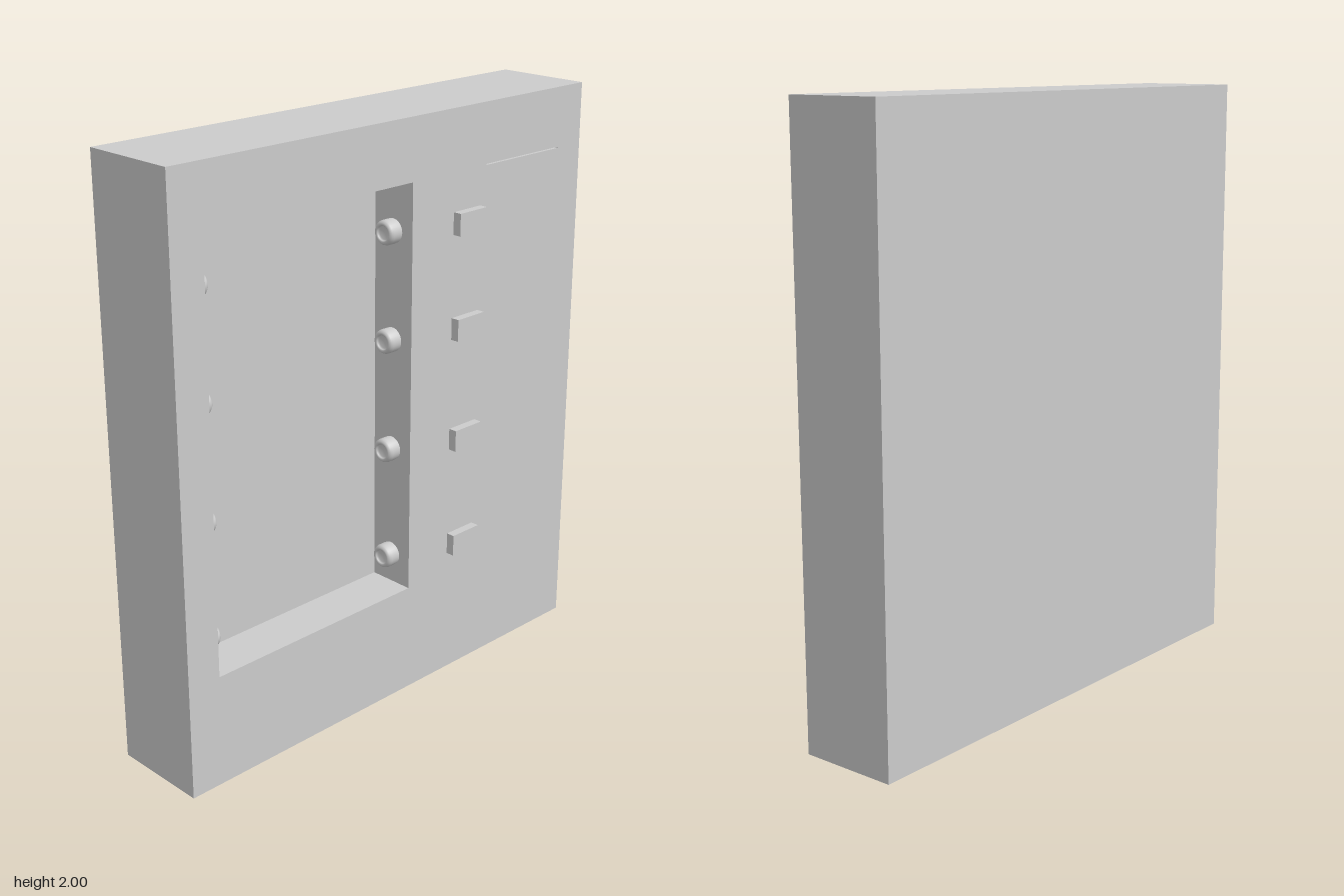
import * as THREE from 'three';

const material = new THREE.MeshStandardMaterial({ color: 0xcccccc });
const HALF_W = 0.885, HEIGHT = 2, BACK = -0.185, FRONT = 0.155, FLOOR = -0.01;
const POCKET = { x0: -0.765, x1: 0.07, y0: 0.385, y1: 1.795 };

function addMesh(parent, name, geometry, x = 0, y = 0, z = 0) {
  const mesh = new THREE.Mesh(geometry, material);
  mesh.name = name;
  mesh.position.set(x, y, z);
  parent.add(mesh);
  return mesh;
}

// Traces a rectangle onto a shape or a hole path
function rect(path, x0, y0, x1, y1) {
  path.moveTo(x0, y0);
  path.lineTo(x1, y0);
  path.lineTo(x1, y1);
  path.lineTo(x0, y1);
  path.closePath();
  return path;
}

// Round knob: rounded outer rim with a shallow dished end, axis along +y
function knobGeometry() {
  const profile = [
    [0.04, 0], [0.041, 0.008], [0.041, 0.034], [0.039, 0.042], [0.034, 0.048],
    [0.028, 0.049], [0.024, 0.046], [0.022, 0.038], [0, 0.038],
  ].map(([r, h]) => new THREE.Vector2(r, h));
  return new THREE.LatheGeometry(profile, 32);
}

export function createModel() {
  const model = new THREE.Group();
  model.name = 'wallPanel';

  // Front half of the case, with the pocket and a hairline slot cut through it
  const face = rect(new THREE.Shape(), -HALF_W, 0, HALF_W, HEIGHT);
  face.holes.push(
    rect(new THREE.Path(), POCKET.x0, POCKET.y0, POCKET.x1, POCKET.y1),
    rect(new THREE.Path(), 0.41, 1.794, 0.77, 1.798),
  );
  const frame = new THREE.ExtrudeGeometry(face, { depth: FRONT - FLOOR, bevelEnabled: false });
  addMesh(model, 'frontFrame', frame, 0, 0, FLOOR);

  // Solid back half, which forms the pocket floor
  const depth = FLOOR - BACK;
  addMesh(model, 'backSlab', new THREE.BoxGeometry(HALF_W * 2, HEIGHT, depth), 0, HEIGHT / 2, BACK + depth / 2);

  // Four rows: a knob on each pocket wall and a button on the face
  const knob = knobGeometry();
  const button = new THREE.BoxGeometry(0.125, 0.075, 0.03);
  const rows = [[0.49, 0.49], [0.88, 0.88], [1.262, 1.272], [1.625, 1.628]];
  for (const [knobY, buttonY] of rows) {
    addMesh(model, 'rightKnob', knob, POCKET.x0, knobY, 0.075).rotation.z = -Math.PI / 2;
    addMesh(model, 'leftKnob', knob, POCKET.x1, knobY, 0.07).rotation.z = Math.PI / 2;
    addMesh(model, 'button', button, 0.322, buttonY, FRONT + 0.015);
  }

  return model;
}
